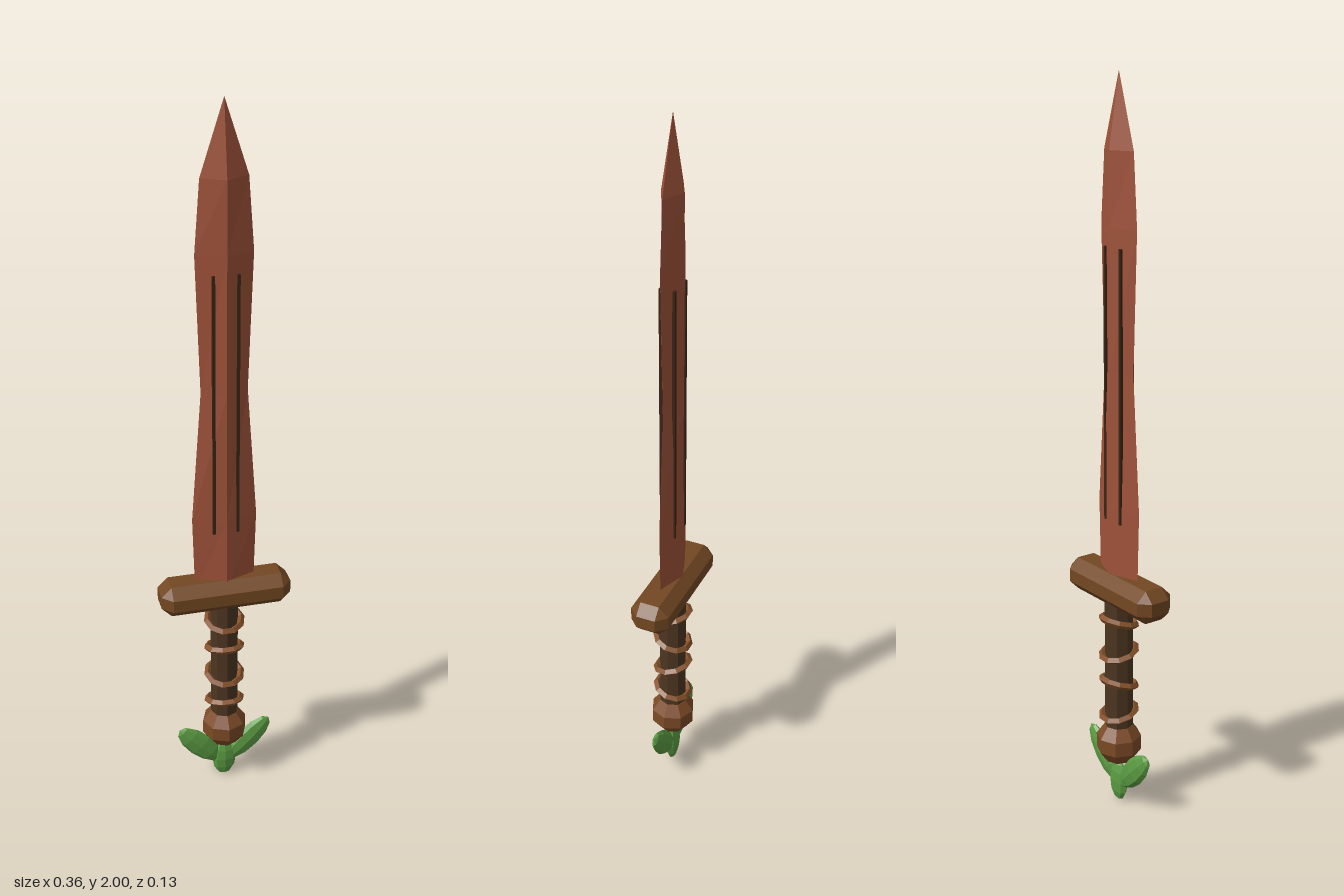
import * as THREE from 'three';
import { ConvexGeometry } from 'three/addons/geometries/ConvexGeometry.js';

const paint = (name, color) => {
  const m = new THREE.MeshStandardMaterial({ color, flatShading: true });
  m.name = name;
  return m;
};

// Box with all edges cut at 45 degrees
function chamferedBox(hx, hy, hz, c) {
  const points = [];
  for (const sx of [-1, 1]) for (const sy of [-1, 1]) for (const sz of [-1, 1]) {
    points.push(
      new THREE.Vector3(sx * hx, sy * (hy - c), sz * (hz - c)),
      new THREE.Vector3(sx * (hx - c), sy * hy, sz * (hz - c)),
      new THREE.Vector3(sx * (hx - c), sy * (hy - c), sz * hz));
  }
  return new ConvexGeometry(points);
}

// Diamond cross-section following rows of [height, half width, half depth]
function bladeGeometry(rows) {
  const n = rows.length - 1;
  const geo = new THREE.CylinderGeometry(1, 1, n, 4, n);
  const pos = geo.attributes.position;
  for (let i = 0; i < pos.count; i++) {
    const [y, w, d] = rows[Math.round(pos.getY(i) + n / 2)];
    pos.setXYZ(i, pos.getX(i) * w, y, pos.getZ(i) * d);
  }
  return geo;
}

export function createModel() {
  const group = new THREE.Group();
  const bladeWood = paint('redBladeWood', 0xa0533a);
  const grooveDark = paint('darkGroove', 0x3a2415);
  const guardWood = paint('guardWood', 0x734822);
  const gripWood = paint('darkGripWood', 0x4d3520);
  const vine = paint('vineBrown', 0x84512a);
  const pommelWood = paint('pommelWood', 0x7c4a26);
  const leafGreen = paint('leafGreen', 0x5b9c43);

  const add = (name, geo, mat, x = 0, y = 0, z = 0) => {
    const mesh = new THREE.Mesh(geo, mat);
    mesh.name = name;
    mesh.position.set(x, y, z);
    group.add(mesh);
    return mesh;
  };

  // Leaf-shaped blade
  add('blade', bladeGeometry([
    [0.66, 0.082, 0.03], [0.88, 0.088, 0.03], [1.25, 0.062, 0.03],
    [1.62, 0.075, 0.03], [1.81, 0.061, 0.03], [2.0, 0, 0],
  ]), bladeWood);

  // Thin grooves on both faces
  for (const x of [-0.032, 0.032]) for (const z of [-0.018, 0.018]) {
    add('bladeGroove', new THREE.BoxGeometry(0.008, 0.73, 0.008), grooveDark, x, 1.205, z);
  }

  // Crossguard, grip and pommel
  add('guard', chamferedBox(0.181, 0.046, 0.055, 0.028), guardWood, 0, 0.647, 0);
  add('grip', new THREE.CylinderGeometry(0.039, 0.039, 0.4, 8), gripWood, 0, 0.42, 0);
  add('pommel', new THREE.SphereGeometry(0.066, 8, 5), pommelWood, 0, 0.185, 0);

  // Rings around the grip, tilted alternately
  for (let i = 0; i < 4; i++) {
    const ring = add('gripRing', new THREE.TorusGeometry(0.048, 0.01, 4, 10), vine, 0, 0.55 - i * 0.091, 0);
    ring.rotation.x = Math.PI / 2 + (i % 2 ? -0.27 : 0.27);
  }

  // Three leaves under the pommel
  const leaf = (x, y, halfLength, halfWidth, turn) => {
    const mesh = add('leaf', new THREE.SphereGeometry(1, 8, 6), leafGreen, x, y, 0);
    mesh.scale.set(halfWidth, halfLength, 0.017);
    mesh.rotation.z = turn;
  };
  for (const side of [-1, 1]) leaf(side * 0.072, 0.119, 0.087, 0.037, -side * 0.76);
  leaf(0, 0.063, 0.06, 0.035, 0);

  // Stand the lowest leaf on the ground
  group.children.filter((m) => m.name === 'leaf').slice(-1)[0].position.y = 0.06;
  return group;
}
